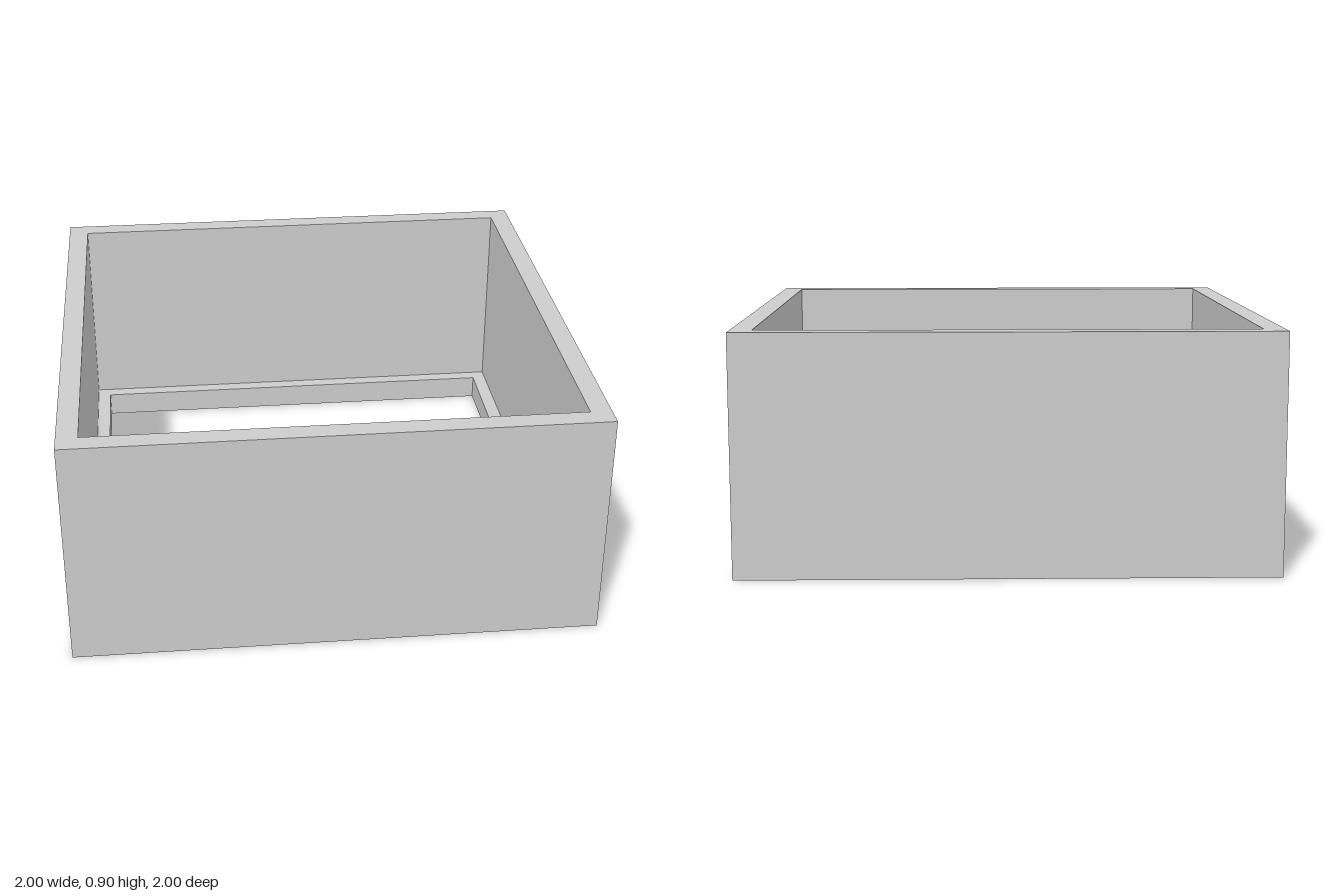
import * as THREE from 'three';

// corners of a unit square, counter-clockwise seen from above: [x, z]
const CORNERS = [[1, 1], [1, -1], [-1, -1], [-1, 1]];

// square ring of half-width r; front and back corners may differ in height
const ring = (r, yFront, yBack = yFront) =>
  CORNERS.map(([x, z]) => [x * r, z > 0 ? yFront : yBack, z * r]);

// joins successive square rings with flat faces
function loft(rings, name, material) {
  const positions = [];
  for (let k = 0; k < rings.length - 1; k++) {
    const a = rings[k], b = rings[k + 1];
    for (let i = 0; i < 4; i++) {
      const j = (i + 1) % 4;
      positions.push(...a[i], ...a[j], ...b[j], ...a[i], ...b[j], ...b[i]);
    }
  }
  const geometry = new THREE.BufferGeometry();
  geometry.setAttribute('position', new THREE.Float32BufferAttribute(positions, 3));
  geometry.computeVertexNormals();
  const mesh = new THREE.Mesh(geometry, material);
  mesh.name = name;
  return mesh;
}

export function createModel() {
  const group = new THREE.Group();
  group.name = 'openFrame';
  const grey = new THREE.MeshStandardMaterial({ color: 0xcccccc });
  grey.name = 'light grey';

  const seat = ring(0.92, 0.115, 0.1); // where the wall meets the ledge
  const base = ring(1, 0);

  // four walls with a flat rim
  group.add(loft([base, ring(1, 0.9), ring(0.92, 0.9), seat], 'walls', grey));
  // inner ledge, slightly sloped at the front, and the underside
  group.add(loft([seat, ring(0.865, 0.1), ring(0.865, 0), base], 'bottomLedge', grey));
  return group;
}
